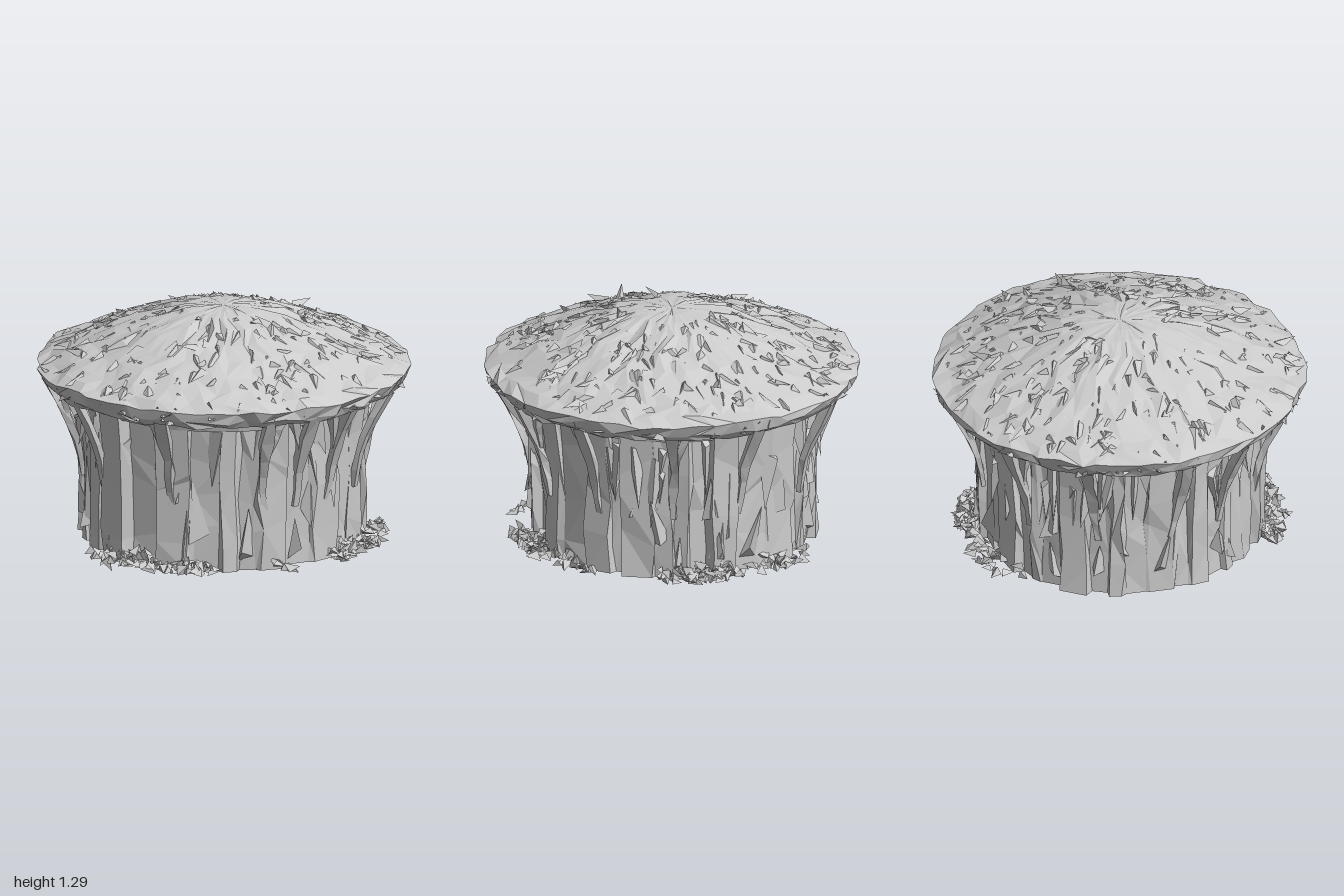
import * as THREE from 'three';
import { mergeGeometries } from 'three/addons/utils/BufferGeometryUtils.js';

const material = new THREE.MeshStandardMaterial({ color: 0xcccccc, flatShading: true, side: THREE.DoubleSide });

// small seeded noise
let seed = 7;
const rand = () => {
  seed = (seed * 16807) % 2147483647;
  return seed / 2147483647;
};
const jitter = (amount) => (rand() * 2 - 1) * amount;
const between = (a, b) => a + (b - a) * rand();
const polar = (angle, r, y) => new THREE.Vector3(Math.sin(angle) * r, y, Math.cos(angle) * r);

// surface through closed rings, listed from bottom to top
function loft(rings) {
  const n = rings[0].length;
  const index = [];
  for (let j = 0; j < rings.length - 1; j++) {
    for (let i = 0; i < n; i++) {
      const a = j * n + i, b = j * n + (i + 1) % n;
      if (rand() < 0.5) index.push(a, b, b + n, a, b + n, a + n);
      else index.push(a, b, a + n, b, b + n, a + n);
    }
  }
  const geometry = new THREE.BufferGeometry().setFromPoints(rings.flat());
  geometry.setIndex(index);
  geometry.computeVertexNormals();
  return geometry;
}

// crooked four-faced shard: base at the origin, tip along dir, broad side across "out"
function shard(base, dir, out, length, width, depth) {
  const d = dir.clone().normalize();
  const side = new THREE.Vector3().crossVectors(out, d).normalize();
  const lift = new THREE.Vector3().crossVectors(d, side);
  const at = (l, s, o) => base.clone().addScaledVector(d, l).addScaledVector(side, s).addScaledVector(lift, o);
  const a = at(jitter(length * 0.25), -width / 2, -depth / 2);
  const b = at(jitter(length * 0.25), width / 2, -depth / 2);
  const c = at(jitter(length * 0.2), jitter(width * 0.4), depth / 2);
  const tip = at(length, jitter(width * 0.5), jitter(depth * 0.4));
  const g = new THREE.BufferGeometry().setFromPoints([a, b, tip, b, c, tip, c, a, tip, a, c, b]);
  g.computeVertexNormals();
  return g;
}

function add(group, name, geometry) {
  const mesh = new THREE.Mesh(geometry, material);
  mesh.name = name;
  group.add(mesh);
}

// roof profile: [radius, height]
const roofProfile = [[0, 1.25], [0.1, 1.25], [0.2, 1.238], [0.32, 1.205], [0.45, 1.16], [0.58, 1.112],
  [0.7, 1.062], [0.82, 1.014], [0.91, 0.977], [0.98, 0.945]];
function roofHeight(r) {
  let k = 1;
  while (k < roofProfile.length - 1 && roofProfile[k][0] < r) k++;
  const [r0, y0] = roofProfile[k - 1], [r1, y1] = roofProfile[k];
  return y0 + (y1 - y0) * (r - r0) / (r1 - r0);
}

// uneven thatch dome with a rim turned in under the eaves
function roof() {
  const n = 60;
  const profile = [[0.77, 0.86], [0.925, 0.85], [0.96, 0.89], ...roofProfile.slice().reverse()];
  return loft(profile.map(([r, y], j) => Array.from({ length: n }, (_, i) => {
    const a = (i + (j % 2) * 0.5) / n * Math.PI * 2 + (r > 0.3 ? jitter(0.03) : 0);
    const rough = r > 0.25 ? 0.016 : 0.004;
    return polar(a, r ? r + jitter(rough) : 0, y + (r ? jitter(rough * 0.8) : 0));
  })));
}

// broad straw tufts lying down the slope, half buried
function straw() {
  return mergeGeometries(Array.from({ length: 330 }, () => {
    const a = rand() * Math.PI * 2;
    const r = 0.9 * Math.sqrt(between(0.05, 1));
    const tipped = rand() < 0.1;
    const dir = polar(a + jitter(0.8), 1, tipped ? jitter(0.2) : between(-0.46, -0.3));
    const length = Math.min(between(0.05, 0.14), 0.98 - r);
    return shard(polar(a, r, roofHeight(r) - 0.002 + jitter(0.005)), dir, new THREE.Vector3(0, 1, 0),
      length, between(0.035, 0.085), between(0.02, 0.045));
  }));
}

// ragged straw ends around the rim
function fringe() {
  return mergeGeometries(Array.from({ length: 80 }, () => {
    const a = rand() * Math.PI * 2;
    const dir = polar(a + jitter(0.9), 0.6, jitter(0.8));
    return shard(polar(a, between(0.925, 0.95), between(0.88, 0.945)), dir, polar(a, 0.1, 1),
      between(0.03, 0.06), between(0.04, 0.08), between(0.02, 0.04));
  }));
}

// wall of vertical planks of uneven width, each set in or out a little
function wall() {
  const heights = [0.01, 0.2, 0.42, 0.62, 0.85];
  const flare = [0.73, 0.73, 0.732, 0.742, 0.765];
  const widths = Array.from({ length: 36 }, () => between(0.4, 1.7));
  const total = widths.reduce((a, b) => a + b);
  const edges = [];
  let angle = 0;
  widths.forEach((w, i) => {
    const next = angle + w / total * Math.PI * 2;
    const offset = (i % 2 ? 1 : -1) * between(0, 0.034);
    edges.push([angle + 0.012, offset], [next - 0.012, offset + jitter(0.015)]);
    angle = next;
  });
  return loft(heights.map((y, j) => edges.map(([a, offset]) => {
    const mid = j > 0 && j < 4;
    return polar(a + jitter(mid ? 0.025 : 0.01), flare[j] + offset + jitter(0.012), y + (mid ? jitter(0.09) : 0));
  })));
}

// broad broken splinters standing out from the planks, pointing up or down
function splinters() {
  return mergeGeometries(Array.from({ length: 60 }, () => {
    const a = rand() * Math.PI * 2;
    const up = rand() < 0.4;
    const length = between(0.15, 0.42);
    const y = up ? between(0.03, 0.4) : between(0.6, 0.84);
    const dir = new THREE.Vector3(jitter(0.1), up ? 1 : -1, jitter(0.1));
    return shard(polar(a, up ? 0.74 : 0.755, y), dir, polar(a, 1, 0), length, between(0.07, 0.13), between(0.04, 0.07));
  }));
}

// thin square band under the eaves
function band() {
  const n = 30;
  const section = [[0.745, 0.795], [0.785, 0.79], [0.80, 0.845], [0.77, 0.865], [0.745, 0.795]];
  const wobble = Array.from({ length: n }, () => jitter(0.012));
  return loft(section.map(([r, y]) => wobble.map((w, i) => polar(i / n * Math.PI * 2, r + w, y + w * 0.5))));
}

// crooked four-sided branch through the points, thicker towards the top
function branch(points, foot, head) {
  const curve = new THREE.CatmullRomCurve3(points);
  const steps = 5;
  return loft(Array.from({ length: steps + 1 }, (_, j) => {
    const t = j / steps;
    const p = curve.getPoint(t);
    const size = foot + (head - foot) * t;
    const out = polar(Math.atan2(p.x, p.z), 1, 0);
    const side = new THREE.Vector3(out.z, 0, -out.x);
    return [[-1, -1], [1, -1], [1, 1], [-1, 1]].map(([s, o]) => p.clone()
      .addScaledVector(side, s * size * between(0.6, 1.3))
      .addScaledVector(out, o * size * between(0.5, 1)));
  }));
}

// strut leaning from the wall out to the eaves, with a short fork near the top
function strut(degrees) {
  const a = degrees * Math.PI / 180;
  const fork = rand() < 0.5 ? -0.08 : 0.08;
  return mergeGeometries([
    branch([[0.74, 0.34], [0.765, 0.5], [0.82, 0.66], [0.925, 0.87]]
      .map(([r, y]) => polar(a + jitter(0.02), r, y)), 0.016, 0.034),
    branch([polar(a, 0.80, 0.62), polar(a + fork * 0.4, 0.835, 0.73), polar(a + fork, 0.87, 0.87)], 0.012, 0.026),
  ]);
}

// heap of chunky shards along an arc at the foot of the wall, higher near the wall
function rubble(from, to, count) {
  return mergeGeometries(Array.from({ length: count }, () => {
    const a = between(from, to) * Math.PI / 180;
    const r = between(0.73, 0.86);
    const base = polar(a, r, 0.035 + rand() * 0.05 * (0.9 - r) / 0.17);
    const dir = new THREE.Vector3(jitter(1), jitter(0.3), jitter(1));
    return shard(base, dir, new THREE.Vector3(0, 1, 0), between(0.03, 0.07), between(0.04, 0.085), between(0.025, 0.05));
  }));
}

export function createModel() {
  const group = new THREE.Group();
  group.name = 'roundHut';
  add(group, 'roof', roof());
  add(group, 'strawTufts', straw());
  add(group, 'strawFringe', fringe());
  add(group, 'plankWall', wall());
  add(group, 'wallSplinters', splinters());
  add(group, 'eavesBand', band());
  [-90, -62, -27, 10, 24, 40, 62, 90, 122, 150, 186, 215, 247].forEach((d) => add(group, 'eavesStrut', strut(d)));
  [[-64, -8, 90], [12, 20, 6], [40, 64, 60], [64, 88, 18], [118, 150, 65], [150, 190, 28]]
    .forEach(([from, to, count]) => add(group, 'rubble', rubble(from, to, count)));
  return group;
}
